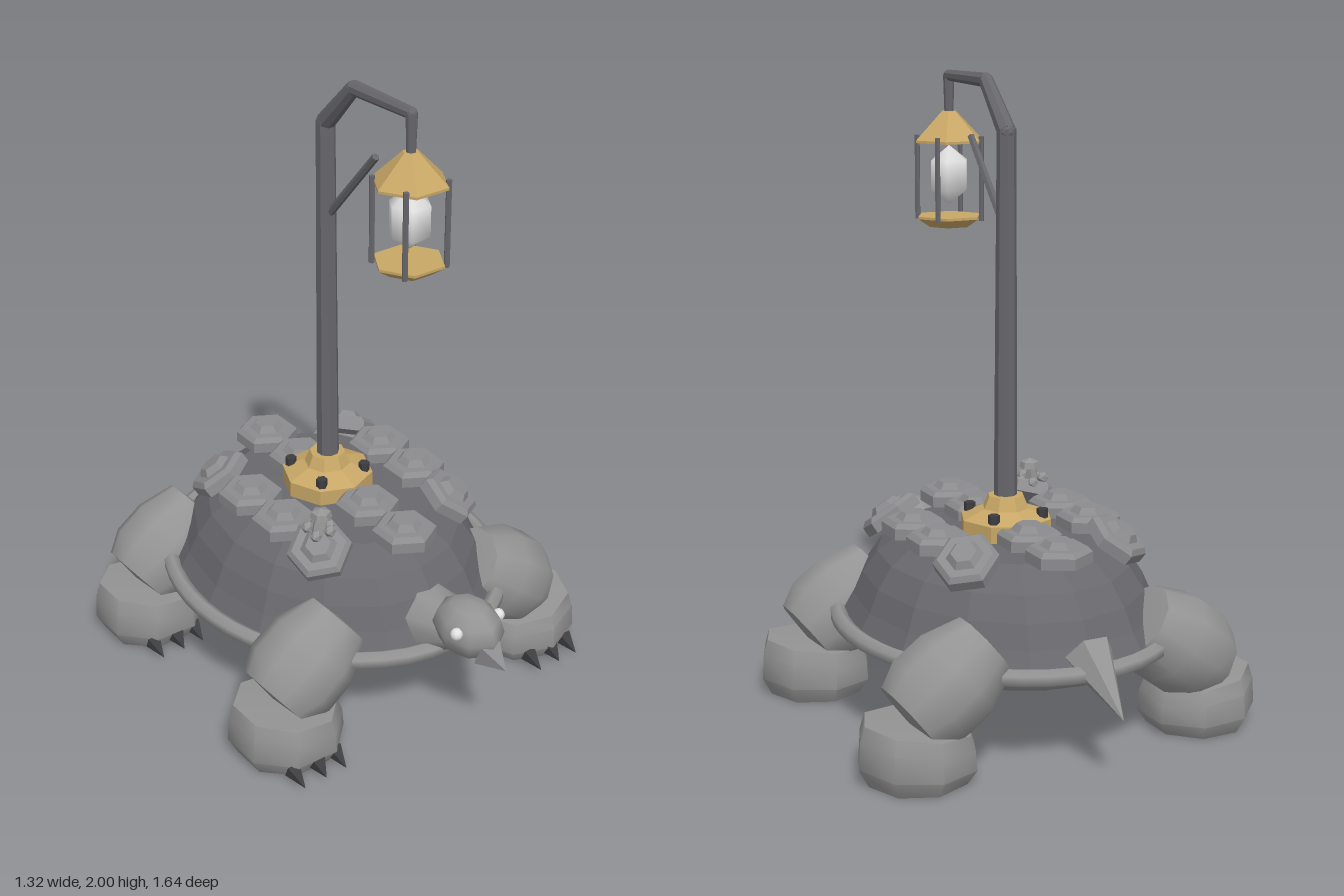
import * as THREE from 'three';
import { toCreasedNormals } from 'three/addons/utils/BufferGeometryUtils.js';

const V = (x, y, z) => new THREE.Vector3(x, y, z);
const UP = V(0, 1, 0);

function material(name, color) {
  const m = new THREE.MeshStandardMaterial({ color });
  m.name = name;
  return m;
}

// Hard facets on every side
function flat(geometry) {
  const g = geometry.index ? geometry.toNonIndexed() : geometry;
  g.computeVertexNormals();
  return g;
}

export function createModel() {
  const model = new THREE.Group();
  model.name = 'lanternTortoise';
  const skin = material('skin grey', 0x949494);
  const shellGrey = material('shell dark grey', 0x69686d);
  const scuteGrey = material('scute grey', 0x8c8c8f);
  const iron = material('iron', 0x67666b);
  const dark = material('dark claw', 0x3e3e41);
  const brass = material('brass', 0xc8a766);
  const pale = material('pale glass', 0xe4e4e4);

  function add(name, geometry, mat, x = 0, y = 0, z = 0, parent = model) {
    const mesh = new THREE.Mesh(geometry, mat);
    mesh.name = name;
    mesh.position.set(x, y, z);
    parent.add(mesh);
    return mesh;
  }

  // Tapered bar from point a to point b, flat side facing forward
  function bar(name, a, b, ra, rb, mat, sides = 8, smooth = false, parent = model) {
    const cyl = new THREE.CylinderGeometry(rb, ra, a.distanceTo(b), sides);
    cyl.rotateY(Math.PI / sides);
    const mesh = add(name, smooth ? toCreasedNormals(cyl, 1) : flat(cyl), mat, 0, 0, 0, parent);
    mesh.position.copy(a).lerp(b, 0.5);
    mesh.quaternion.setFromUnitVectors(UP, b.clone().sub(a).normalize());
    return mesh;
  }

  // Upright turned part from [radius, y] pairs
  const lathe = (pairs, sides, phi = 0) =>
    new THREE.LatheGeometry(pairs.map(([r, y]) => new THREE.Vector2(r, y)), sides, phi);

  // Shell: faceted oval dome
  const dome = lathe([[1, 0.3], [0.92, 0.37], [0.86, 0.44], [0.77, 0.51], [0.6, 0.575], [0, 0.585]], 16);
  dome.scale(0.5, 1, 0.605);
  add('shell', flat(dome), shellGrey, 0, 0, -0.06);

  // Smooth belly closing the shell from below
  const belly = lathe([[0, 0.215], [0.55, 0.217], [0.86, 0.235], [0.96, 0.265], [1, 0.3]], 24);
  belly.scale(0.5, 1, 0.605);
  belly.computeVertexNormals();
  add('belly', belly, skin, 0, 0, -0.06);

  // Rim around the shell
  const rimPoints = [];
  for (let i = 0; i < 24; i++) {
    const a = (i / 24) * Math.PI * 2;
    rimPoints.push(V(0.51 * Math.cos(a), 0.305, -0.06 + 0.605 * Math.sin(a)));
  }
  const rimCurve = new THREE.CatmullRomCurve3(rimPoints, true);
  add('shellRim', new THREE.TubeGeometry(rimCurve, 48, 0.028, 6, true), skin);

  // Hexagonal scutes in two tiers
  function scute(x, y, z, normal = UP) {
    const g = new THREE.Group();
    g.name = 'scute';
    add('scutePlate', flat(lathe([[0, -0.03], [0.102, -0.03], [0.102, 0.005], [0.086, 0.02],
      [0.058, 0.02], [0.04, 0.04], [0, 0.04]], 6)), scuteGrey, 0, 0, 0, g);
    g.position.set(x, y, z);
    g.quaternion.setFromUnitVectors(UP, normal.clone().normalize());
    model.add(g);
  }
  for (const z of [-0.43, -0.24, 0.13, 0.32]) scute(0, 0.607, z);
  for (const s of [-1, 1]) {
    for (const z of [-0.145, 0.04]) scute(s * 0.262, 0.607, z);
    scute(s * 0.262, 0.593, -0.335, V(s * 0.42, 0.8, -0.4));
    scute(s * 0.262, 0.593, 0.23, V(s * 0.42, 0.8, 0.4));
  }

  // Small knobbly growth on one front scute
  const growth = new THREE.Group();
  growth.name = 'growth';
  growth.position.set(-0.245, 0.63, 0.21);
  model.add(growth);
  bar('growthStem', V(-0.01, -0.02, 0.01), V(0, 0.07, 0), 0.03, 0.015, skin, 6, false, growth);
  add('growthCap', flat(lathe([[0, 0.055], [0.035, 0.06], [0.03, 0.08], [0, 0.092]], 6)), skin, 0.005, 0, 0, growth);
  for (let i = 0; i < 5; i++) {
    const a = (i / 5) * Math.PI * 2;
    add('growthKnob', flat(new THREE.IcosahedronGeometry(0.02, 0)), skin,
      0.038 * Math.cos(a), 0.015 + 0.01 * (i % 2), 0.038 * Math.sin(a), growth);
  }

  // Neck, head, beak and eyes
  bar('neck', V(0, 0.325, 0.38), V(0, 0.39, 0.58), 0.145, 0.07, skin, 8, true);
  const head = add('head', new THREE.SphereGeometry(1, 8, 6), skin, 0, 0.424, 0.638);
  head.scale.set(0.098, 0.093, 0.125);
  bar('beak', V(0, 0.385, 0.725), V(0, 0.363, 0.815), 0.055, 0.001, scuteGrey, 4);
  for (const s of [-1, 1]) {
    add('eye', new THREE.SphereGeometry(0.02, 8, 6), pale, s * 0.083, 0.455, 0.68);
  }

  // Tail spike
  bar('tail', V(0, 0.35, -0.615), V(0, 0.215, -0.82), 0.078, 0.001, skin, 6);

  // Legs: barrel thigh, wide foot and three claws
  for (const s of [-1, 1]) {
    for (const z of [0.335, -0.47]) {
      const leg = new THREE.Group();
      leg.name = (z > 0 ? 'front' : 'rear') + (s > 0 ? 'LeftLeg' : 'RightLeg');
      leg.position.set(s * 0.48 + 0.008, 0, z);
      model.add(leg);
      const thigh = add('thigh', toCreasedNormals(lathe([[0, -0.165], [0.125, -0.155], [0.158, -0.08],
        [0.156, 0.03], [0.115, 0.15], [0, 0.16]], 10), 0.8), skin, -s * 0.095, 0.285, -0.015, leg);
      thigh.quaternion.setFromUnitVectors(UP, V(-s * 0.8, 0.6, 0).normalize());
      const footGeo = lathe([[0, 0], [0.155, 0], [0.185, 0.05], [0.18, 0.12], [0.165, 0.165], [0, 0.175]],
        8, s < 0 ? Math.PI / 8 : 0);
      const p = footGeo.attributes.position;
      // the foot's top slopes down toward the body
      for (let i = 0; i < p.count; i++) p.setY(i, p.getY(i) * (1 + s * p.getX(i) * 0.8));
      footGeo.computeVertexNormals();
      add('foot', toCreasedNormals(footGeo, 0.8), skin, 0, 0, 0, leg);
      for (const x of [-0.08, 0, 0.075]) {
        const back = 0.165 - Math.abs(x) * 0.25;
        bar('claw', V(x, 0.038, back), V(x, 0.01, 0.212), 0.03, 0.001, dark, 4, false, leg);
      }
    }
  }

  // Brass mount with bolts
  add('poleMount', flat(lathe([[0, 0.58], [0.148, 0.58], [0.148, 0.632], [0.115, 0.645],
    [0.075, 0.66], [0.058, 0.7], [0, 0.7]], 8)), brass, 0, 0, -0.083);
  for (const x of [-0.085, 0.085]) {
    for (const z of [-0.168, 0.002]) {
      add('bolt', flat(new THREE.CylinderGeometry(0.018, 0.018, 0.03, 6)), dark, x, 0.65, z);
    }
  }

  // Lamp post with bent arm and strut
  bar('post', V(0, 0.64, -0.08), V(0, 1.84, -0.083), 0.037, 0.03, iron);
  const arm = [V(0, 1.83, -0.085), V(0, 1.978, 0.055), V(0, 1.981, 0.32), V(0, 1.85, 0.32)];
  const armRadii = [0.03, 0.023, 0.018, 0.014];
  for (let i = 0; i < 3; i++) {
    bar('arm', arm[i], arm[i + 1], armRadii[i], armRadii[i + 1], iron);
    add('armJoint', flat(new THREE.IcosahedronGeometry(armRadii[i] * 0.97, 1)), iron, ...arm[i].toArray());
  }
  bar('strut', V(0, 1.55, -0.06), V(0, 1.8, 0.16), 0.013, 0.012, iron, 6);

  // Hanging lantern
  const lantern = new THREE.Group();
  lantern.name = 'lantern';
  lantern.position.set(0, 0, 0.32);
  model.add(lantern);
  const turn = Math.PI / 6;
  add('lanternRoof', flat(lathe([[0, 1.77], [0.116, 1.77], [0.116, 1.778], [0.045, 1.848],
    [0.025, 1.868], [0, 1.868]], 6, turn)), brass, 0, 0, 0, lantern);
  add('lanternBase', flat(lathe([[0, 1.5], [0.07, 1.5], [0.11, 1.527], [0.11, 1.535], [0, 1.535]], 6, turn)),
    brass, 0, 0, 0, lantern);
  for (const x of [-0.077, 0.077]) {
    for (const z of [-0.077, 0.077]) {
      bar('lanternRod', V(x, 1.52, z), V(x, 1.79, z), 0.009, 0.009, iron, 6, false, lantern);
    }
  }
  const bulb = add('bulb', new THREE.SphereGeometry(0.074, 6, 3), pale, 0, 1.665, 0, lantern);
  bulb.scale.y = 1.28;

  // Centre the post line just off the middle of the feet
  const root = new THREE.Group();
  root.name = 'model';
  model.position.x = -0.008;
  root.add(model);
  return root;
}
